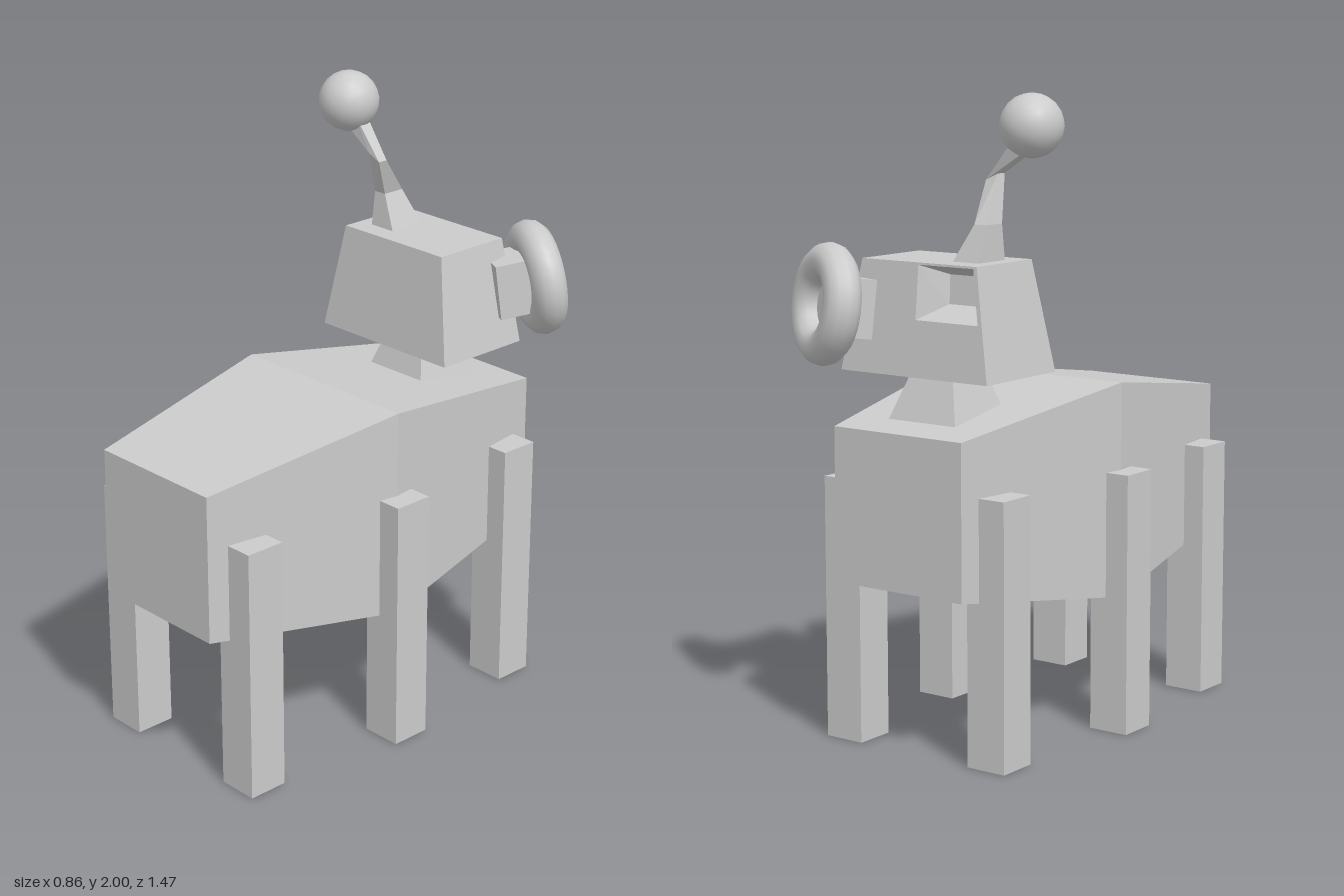
import * as THREE from 'three';

const flat = new THREE.MeshStandardMaterial({ color: 0xcccccc, flatShading: true });
const smooth = new THREE.MeshStandardMaterial({ color: 0xcccccc });
const MID = -0.025; // x of the body's symmetry plane

function add(parent, name, geometry, material = flat) {
  const mesh = new THREE.Mesh(geometry, material);
  mesh.name = name;
  parent.add(mesh);
  return mesh;
}

// Flat-faced geometry from quads with counter-clockwise corners
function fromQuads(quads) {
  const pos = quads.flatMap(([a, b, c, d]) => [a, b, c, a, c, d].flat());
  const g = new THREE.BufferGeometry();
  g.setAttribute('position', new THREE.Float32BufferAttribute(pos, 3));
  g.computeVertexNormals();
  return g;
}

// Quads joining the outlines of two four-cornered sections
const bridge = (lo, hi) => lo.map((p, i) => [p, lo[(i + 1) % 4], hi[(i + 1) % 4], hi[i]]);

// Closed solid through a row of four-cornered sections
function loft(sections) {
  const quads = [[...sections[0]].reverse(), sections.at(-1)];
  for (let i = 1; i < sections.length; i++) quads.push(...bridge(sections[i - 1], sections[i]));
  return fromQuads(quads);
}

// Horizontal section; yRight tilts it toward +x
const level = (x0, x1, z0, z1, y, yRight = y) =>
  [[x0, y, z1], [x1, yRight, z1], [x1, yRight, z0], [x0, y, z0]];

// Upright section of the body
const upright = (z, half, y0, y1) =>
  [[MID - half, y0, z], [MID + half, y0, z], [MID + half, y1, z], [MID - half, y1, z]];

// Tapered head with a sunken pocket in the upper quarter of its back
function headGeometry() {
  const lo = level(-0.3, 0.25, -0.557, -0.213, 1.16);
  const hi = level(-0.24, 0.19, -0.525, -0.252, 1.5);
  const sides = bridge(lo, hi);
  const lerp = (a, b, t) => a.map((v, i) => v + (b[i] - v) * t);
  const back = (u, v) => lerp(lerp(lo[2], lo[3], u), lerp(hi[2], hi[3], u), v);
  const patch = (u0, u1, v0, v1) => [back(u0, v0), back(u1, v0), back(u1, v1), back(u0, v1)];
  const rim = patch(0.5, 0.97, 0.5, 0.98);
  const floor = patch(0.6, 0.87, 0.62, 0.88).map(([x, y, z]) => [x, y, z + 0.1]);
  return fromQuads([
    [...lo].reverse(), hi, sides[0], sides[1], sides[3],
    patch(0, 1, 0, 0.5), patch(0, 0.5, 0.5, 1),
    patch(0.97, 1, 0.5, 1), patch(0.5, 0.97, 0.98, 1),
    ...bridge(rim, floor), floor,
  ]);
}

export function createModel() {
  const model = new THREE.Group();
  model.name = 'sixLeggedCreature';

  // Body, widest and tallest at the middle
  add(model, 'body', loft([
    upright(-0.635, 0.24, 0.52, 1.0),
    upright(0.05, 0.34, 0.42, 1.1),
    upright(0.735, 0.24, 0.52, 1.0),
  ]));

  // Three pairs of legs
  const pairs = [['front', 0.598, 0.274], ['middle', 0.05, 0.342], ['rear', -0.498, 0.274]];
  for (const [name, z, offset] of pairs) {
    for (const [side, s] of [['Left', 1], ['Right', -1]]) {
      const leg = add(model, `${name}${side}Leg`, new THREE.BoxGeometry(0.135, 0.825, 0.133));
      leg.position.set(MID + s * offset, 0.4125, z);
    }
  }

  // Neck and head
  add(model, 'neck', loft([
    level(-0.16, 0.11, -0.525, -0.25, 0.99),
    level(-0.1, 0.05, -0.46, -0.31, 1.17),
  ]));
  add(model, 'head', headGeometry());

  // Bent antenna with a ball at its tip
  add(model, 'antenna', loft([
    level(-0.19, -0.09, -0.452, -0.318, 1.49),
    level(-0.19, -0.145, -0.41, -0.333, 1.61),
    level(-0.155, -0.11, -0.305, -0.272, 1.755, 1.735),
    level(-0.26, -0.225, -0.325, -0.28, 1.82, 1.86),
  ]));
  add(model, 'antennaBall', new THREE.IcosahedronGeometry(0.097, 3), smooth)
    .position.set(-0.27, 1.9, -0.293);

  // Ring ear on a square stem at the back corner of the head
  const ear = new THREE.Group();
  ear.name = 'ear';
  ear.position.set(0.257, 1.365, -0.617);
  ear.lookAt(0.257 + 0.47, 1.365 + 0.13, -0.617 - 0.87);
  add(ear, 'earRing', new THREE.TorusGeometry(0.129, 0.058, 12, 32), smooth);
  add(ear, 'earStem', new THREE.BoxGeometry(0.145, 0.18, 0.15)).position.z = -0.075;
  model.add(ear);

  return model;
}
